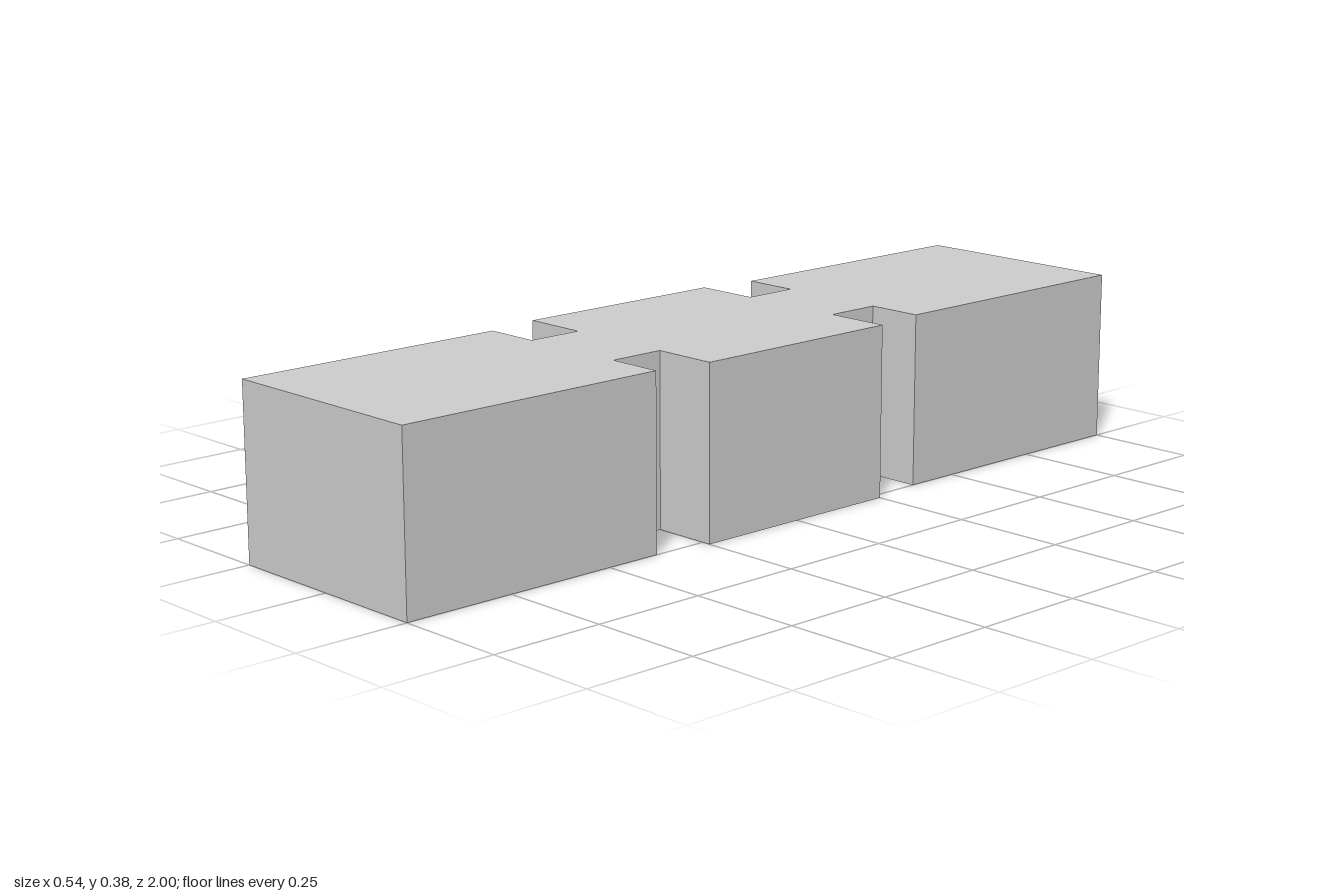
import * as THREE from 'three';

const HEIGHT = 0.375;

export function createModel() {
  const model = new THREE.Group();
  const material = new THREE.MeshStandardMaterial({ color: 0xcccccc, side: THREE.DoubleSide });
  const add = (name, geometry) => {
    const mesh = new THREE.Mesh(geometry, material);
    mesh.name = name;
    model.add(mesh);
    return mesh;
  };

  // Plan outline [x, z]: three blocks joined by two narrow necks, left side front to back
  const quarter = [[0.25, 1], [0.25, 0.375], [0.125, 0.375], [0.125, 0.25], [0.27, 0.25]];
  const leftSide = [...quarter, ...quarter.map(([x, z]) => [x, -z]).reverse()];
  const rightSide = leftSide.map(([x, z]) => [-x, z]).reverse();
  const outline = [...leftSide, ...rightSide];

  // Floor and roof sheets
  const plan = new THREE.Shape(outline.map(([x, z]) => new THREE.Vector2(x, -z)));
  add('floor', new THREE.ShapeGeometry(plan).rotateX(Math.PI / 2));
  add('roof', new THREE.ShapeGeometry(plan).rotateX(-Math.PI / 2)).position.y = HEIGHT;

  // Thin upright walls along the outline, leaving the back end for the doorway
  outline.forEach(([ax, az], i) => {
    if (i === leftSide.length - 1) return;
    const [bx, bz] = outline[(i + 1) % outline.length];
    const wall = add(i === outline.length - 1 ? 'frontWall' : 'sideWall',
      new THREE.PlaneGeometry(Math.hypot(bx - ax, bz - az), HEIGHT));
    wall.position.set((ax + bx) / 2, HEIGHT / 2, (az + bz) / 2);
    wall.rotation.y = Math.atan2(az - bz, bx - ax);
  });

  // Back wall with a doorway open down to the floor
  const back = new THREE.Shape([
    [-0.25, 0], [-0.125, 0], [-0.125, 0.25], [0.125, 0.25],
    [0.125, 0], [0.25, 0], [0.25, HEIGHT], [-0.25, HEIGHT],
  ].map(([x, y]) => new THREE.Vector2(x, y)));
  add('backWall', new THREE.ShapeGeometry(back).rotateY(Math.PI)).position.z = -1;

  return model;
}
